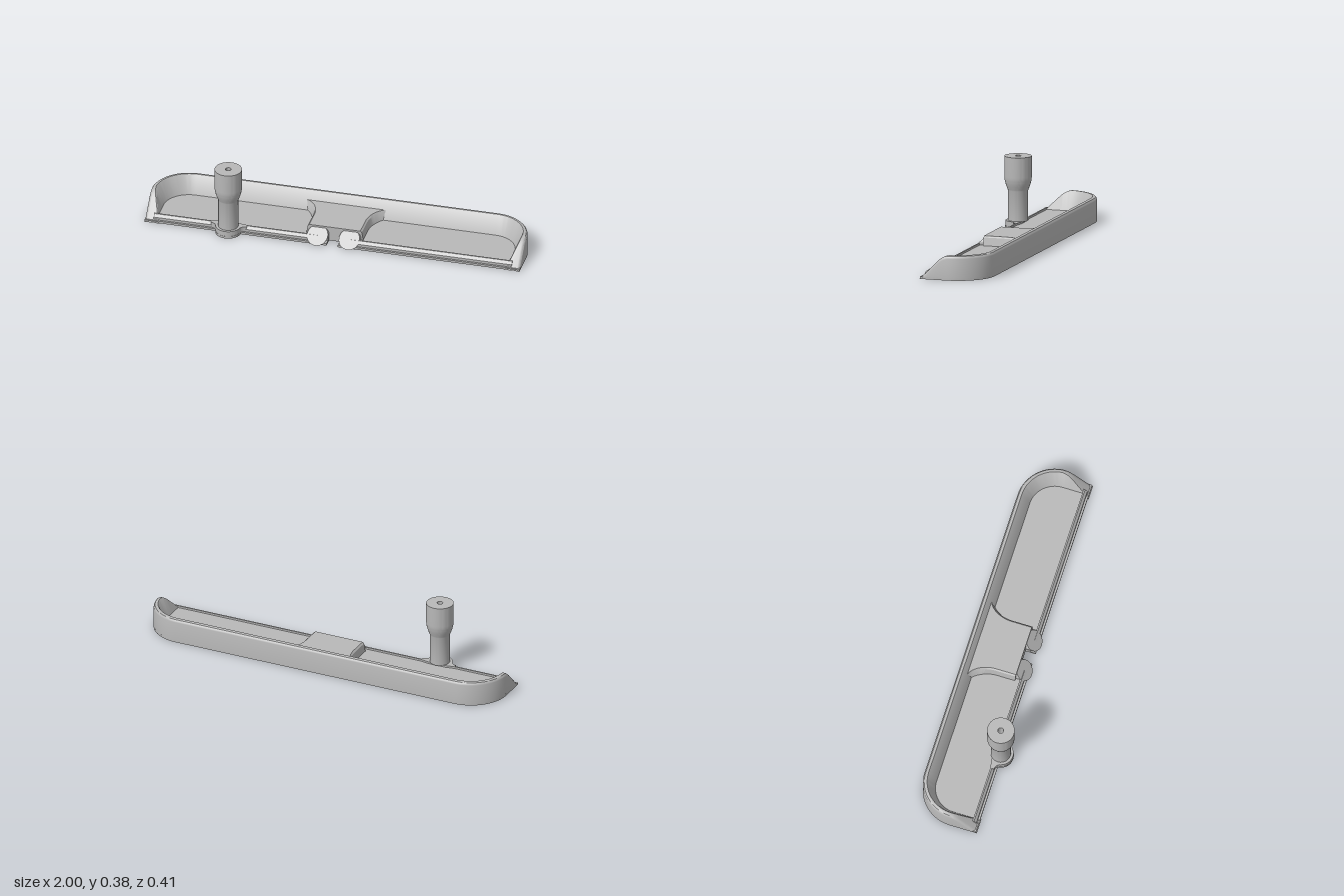
import * as THREE from 'three';
import { toCreasedNormals } from 'three/addons/utils/BufferGeometryUtils.js';

const plastic = new THREE.MeshStandardMaterial({ color: 0xb8b8b8, side: THREE.DoubleSide });
plastic.name = 'grey plastic';

const POST = { x: -0.555, z: 0.135, hole: 0.015 };

function part(name, geometry) {
  const mesh = new THREE.Mesh(toCreasedNormals(geometry, 0.5), plastic);
  mesh.name = name;
  return mesh;
}

// Skin a list of equal-length rows of [x, y, z] points
function loft(rows) {
  const n = rows[0].length, index = [];
  for (let i = 0; i < rows.length - 1; i++) {
    for (let j = 0; j < n - 1; j++) {
      const a = i * n + j, b = a + n;
      index.push(a, a + 1, b, b, a + 1, b + 1);
    }
  }
  const g = new THREE.BufferGeometry();
  g.setAttribute('position', new THREE.Float32BufferAttribute(rows.flat(2), 3));
  g.setIndex(index);
  return g;
}

// Extrude a plan drawn in (x, -z) upward from y0 to y1
function slab(shape, y0, y1) {
  const g = new THREE.ExtrudeGeometry(shape, { depth: y1 - y0, bevelEnabled: false, curveSegments: 20 });
  return g.rotateX(-Math.PI / 2).translate(0, y0, 0);
}

function drill(shape, x, z, r) {
  shape.holes.push(new THREE.Path().absarc(x, -z, r, 0, Math.PI * 2, true));
}

// Tray plan: round back corners, notch in the middle of the front, optional post bulge
function trayPlan(inset, front, bulge) {
  const s = new THREE.Shape(), w = 1 - inset, r = 0.2 - inset;
  s.moveTo(-w, -front);
  if (bulge) {
    s.lineTo(POST.x - 0.067, -front);
    s.absarc(POST.x, -POST.z, 0.067, Math.PI, Math.PI * 2, false);
    s.lineTo(POST.x + 0.067, -front);
  }
  s.lineTo(-0.03, -front);
  s.lineTo(-0.03, -0.085);
  s.lineTo(0.03, -0.085);
  s.lineTo(0.03, -front);
  s.lineTo(w, -front);
  s.lineTo(w, 0);
  s.absarc(0.8, 0, r, 0, Math.PI / 2, false);
  s.absarc(-0.8, 0, r, Math.PI / 2, Math.PI, false);
  s.closePath();
  return s;
}

// Wall height falls away at 45 degrees towards the front
function wallHeight(z) {
  if (z < -0.02) return 0.13;
  if (z < 0.05) return 0.13 - (z + 0.02) ** 2 / 0.14;
  return Math.max(0.145 - z, 0.001);
}

function wallGeometry() {
  const half = []; // [x, z, inward x, inward z]
  for (let i = 0; i <= 16; i++) half.push([1, 0.145 * (1 - i / 16), -1, 0]);
  for (let i = 1; i <= 20; i++) {
    const a = (i / 20) * Math.PI / 2, c = Math.cos(a), s = Math.sin(a);
    half.push([0.8 + 0.2 * c, -0.2 * s, -c, s]);
  }
  const mirrored = half.map(([x, z, nx, nz]) => [-x, z, -nx, nz]).reverse();
  const rows = [...half, ...mirrored].map(([x, z, nx, nz]) => {
    const h = wallHeight(z), low = Math.min(h, 0.02);
    const inner = (y) => 0.065 - (y - 0.03) * 0.4;
    const section = [
      [0, 0], [0, Math.max(h - 0.016, 0)], [0.002, Math.max(h - 0.009, 0)],
      [0.007, Math.max(h - 0.003, 0)], [0.015, h],
      [inner(h) - 0.003, h], [inner(h) + 0.002, Math.max(h - 0.005, 0)], [inner(low), low],
    ];
    return section.map(([d, y]) => [x + nx * d, y, z + nz * d]);
  });
  return loft(rows);
}

// Raised centre bridge, flaring where it meets the back wall
function bridgeGeometry() {
  const rows = [];
  for (let i = 0; i <= 24; i++) {
    const z = 0.085 - (i / 24) * 0.255;
    const t = THREE.MathUtils.clamp((-z - 0.02) / 0.14, 0, 1);
    const flare = 0.1 * (1 - Math.sqrt(1 - t * t * 0.98));
    const top = 0.14 + flare, foot = 0.155 + flare + 0.015 * t;
    rows.push([[-foot, 0.012, z], [-top - 0.004, 0.072, z], [-top + 0.004, 0.08, z],
      [top - 0.004, 0.08, z], [top + 0.004, 0.072, z], [foot, 0.012, z]]);
  }
  return loft(rows);
}

function bridgeFrontGeometry() {
  const s = new THREE.Shape([[-0.155, 0.012], [0.155, 0.012], [0.144, 0.072], [0.136, 0.08],
    [-0.136, 0.08], [-0.144, 0.072]].map(([x, y]) => new THREE.Vector2(x, y)));
  return new THREE.ShapeGeometry(s).translate(0, 0, 0.085);
}

// Round stub whose front is cut at 45 degrees
function stubGeometry(x) {
  const s = new THREE.Shape().absellipse(x, 0.04, 0.055, 0.04, 0, Math.PI * 2, false, 0);
  const g = new THREE.ExtrudeGeometry(s, { depth: 1, bevelEnabled: false, curveSegments: 24 });
  const p = g.attributes.position;
  for (let i = 0; i < p.count; i++) p.setZ(i, p.getZ(i) > 0.5 ? 0.155 - p.getY(i) : 0.07);
  return g;
}

// Low ridge along the front edge between two x positions
function lipGeometry(x0, x1) {
  const s = new THREE.Shape([[0.108, 0.01], [0.129, 0.01], [0.129, 0.026], [0.116, 0.04], [0.108, 0.04]]
    .map(([z, y]) => new THREE.Vector2(-z, y)));
  const g = new THREE.ExtrudeGeometry(s, { depth: x1 - x0, bevelEnabled: false });
  return g.rotateY(Math.PI / 2).translate(x0, 0, 0);
}

// Pedestal: round front, flared into the ridge behind
function pedestalPlan() {
  const { x, z, hole } = POST, s = new THREE.Shape();
  s.moveTo(x - 0.095, -0.128);
  s.quadraticCurveTo(x - 0.07, -0.13, x - 0.064, -0.15);
  s.absarc(x, -z, 0.0657, Math.PI + 0.23, Math.PI * 2 - 0.23, false);
  s.quadraticCurveTo(x + 0.07, -0.13, x + 0.095, -0.128);
  s.lineTo(x + 0.095, -0.108);
  s.lineTo(x + 0.05, -0.1);
  s.lineTo(x - 0.05, -0.1);
  s.lineTo(x - 0.095, -0.108);
  s.closePath();
  drill(s, x, z, hole);
  return s;
}

// Handle post: slim shaft swelling into a wider grip, bored through
function postGeometry() {
  const pts = [[POST.hole, 0.038], [0.052, 0.038], [0.052, 0.197]];
  for (let i = 1; i <= 10; i++) {
    const t = i / 10;
    pts.push([0.052 + 0.019 * Math.sin(t * Math.PI / 2), 0.197 + 0.075 * t]);
  }
  pts.push([0.071, 0.377], [POST.hole, 0.377], [POST.hole, 0]);
  const g = new THREE.LatheGeometry(pts.map(([r, y]) => new THREE.Vector2(r, y)), 48);
  return g.translate(POST.x, 0, POST.z);
}

export function createModel() {
  const model = new THREE.Group();
  model.name = 'tray';

  // Base with blind screw holes below, floor above
  const base = trayPlan(0, 0.14, true);
  for (const [x, z] of [[-0.95, 0.02], [0, 0], [0.95, 0.02]]) drill(base, x, z, 0.012);
  drill(base, POST.x, POST.z, POST.hole);
  model.add(part('basePlate', slab(base, 0, 0.012)));
  model.add(part('floor', slab(trayPlan(0.03, 0.11, false), 0.012, 0.03)));
  model.add(part('wall', wallGeometry()));

  // Centre bridge with its two stubs
  model.add(part('bridge', bridgeGeometry()), part('bridgeFront', bridgeFrontGeometry()));
  model.add(part('leftStub', stubGeometry(0.085)), part('rightStub', stubGeometry(-0.085)));

  // Front ridge in three runs
  for (const [x0, x1] of [[-0.955, POST.x - 0.09], [POST.x + 0.09, -0.085], [0.085, 0.955]]) {
    model.add(part('frontLip', lipGeometry(x0, x1)));
  }

  // Handle
  model.add(part('pedestal', slab(pedestalPlan(), 0.012, 0.04)));
  model.add(part('post', postGeometry()));
  return model;
}
